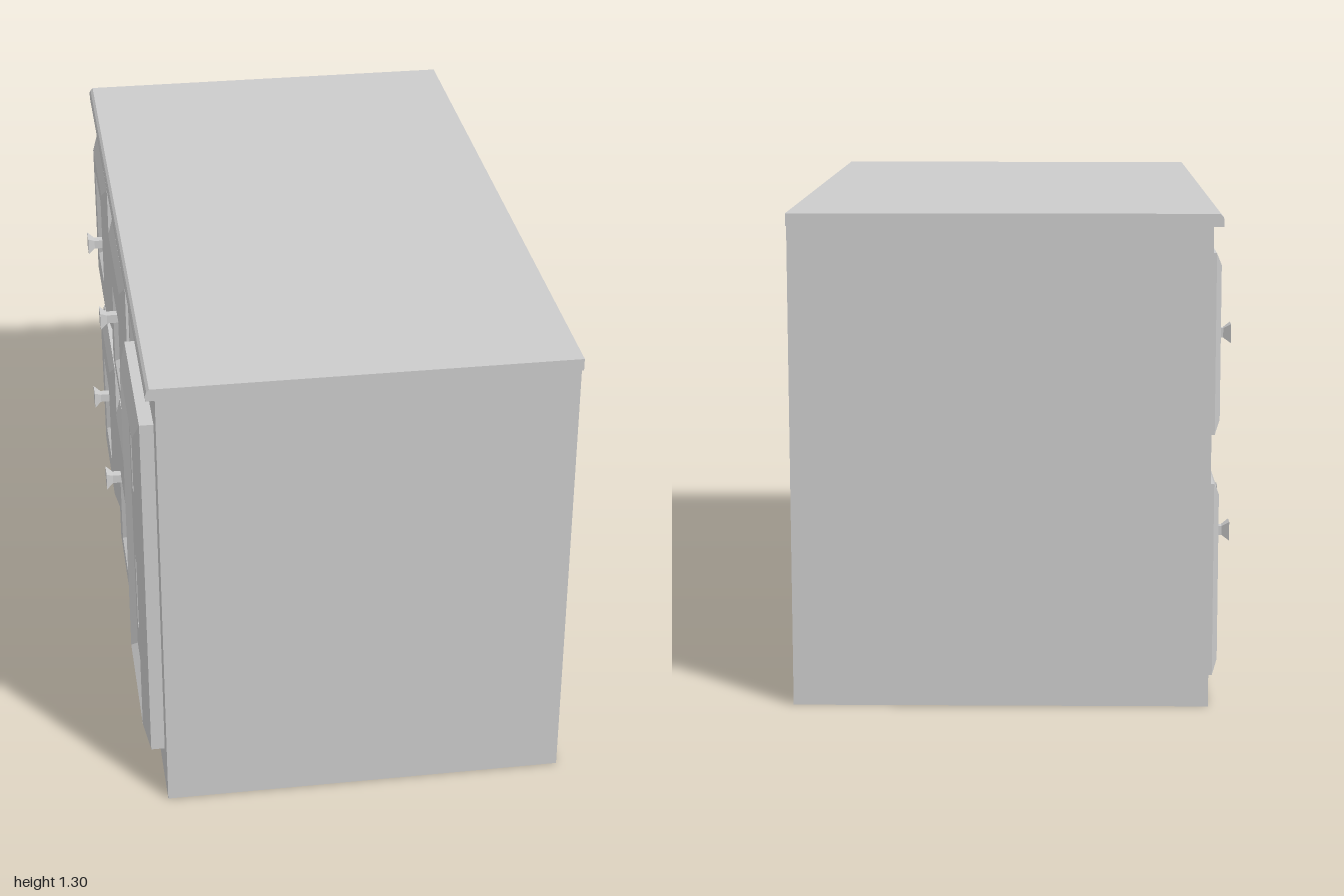
import * as THREE from 'three';

const material = new THREE.MeshStandardMaterial({ color: 0xcccccc, flatShading: true });
const WALL = -0.51; // plane of the cabinet face that carries doors and drawers

function add(parent, name, geometry) {
  const mesh = new THREE.Mesh(geometry, material);
  mesh.name = name;
  parent.add(mesh);
  return mesh;
}

// Joins rectangles [z0, z1, y0, y1, x] one after another, facing -x; the last may be capped.
function loftRects(rects, cap = true) {
  const rings = rects.map(([z0, z1, y0, y1, x]) => [[x, y0, z0], [x, y0, z1], [x, y1, z1], [x, y1, z0]]);
  const pos = [];
  const quad = (a, b, c, d) => pos.push(...a, ...b, ...c, ...a, ...c, ...d);
  for (let i = 0; i < rings.length - 1; i++) {
    for (let k = 0; k < 4; k++) {
      const n = (k + 1) % 4;
      quad(rings[i][k], rings[i][n], rings[i + 1][n], rings[i + 1][k]);
    }
  }
  if (cap) quad(...rings[rings.length - 1]);
  const g = new THREE.BufferGeometry();
  g.setAttribute('position', new THREE.Float32BufferAttribute(pos, 3));
  g.computeVertexNormals();
  return g;
}

// Rectangle shrunk by d on every side, at depth x
const inset = ([z0, z1, y0, y1], d, x) => [z0 + d, z1 - d, y0 + d, y1 - d, x];
const square = (z, y, h, x) => [z - h, z + h, y - h, y + h, x];

// Bevelled drawer front with a sunken middle and a flared square knob
function makeDrawer(outer, recess, knobZ, knobY, tip) {
  const g = new THREE.Group();
  g.name = 'drawer';
  add(g, 'drawerFront', loftRects([
    inset(outer, 0, WALL),
    inset(outer, 0, -0.525),
    inset(outer, 0.035, -0.54),
    inset(recess, 0, -0.54),
    inset(recess, 0.008, -0.527),
  ]));
  add(g, 'knob', loftRects([
    square(knobZ, knobY, 0.013, -0.52),
    square(knobZ, knobY, 0.013, tip + 0.02),
    square(knobZ, knobY, 0.026, tip),
  ]));
  return g;
}

// Door with a raised rim and four sunken windows in its panel
function makeDoor() {
  const g = new THREE.Group();
  g.name = 'door';
  const outer = [0.45, 0.91, 0.12, 1.15];
  const rim = [0.49, 0.87, 0.18, 1.09];
  const floor = inset(rim, 0.018, -0.547);
  add(g, 'doorFrame', loftRects([
    inset(outer, 0, WALL), inset(outer, 0, -0.547), inset(rim, 0, -0.565), floor,
  ], false));

  // Shape drawn in (z, y), then turned to face -x
  const [z0, z1, y0, y1] = floor;
  const panel = new THREE.Shape([[z0, y0], [z1, y0], [z1, y1], [z0, y1]].map(p => new THREE.Vector2(...p)));
  for (const z of [0.55, 0.73]) {
    for (const y of [0.30, 0.75]) {
      const win = [z, z + 0.09, y, y + 0.225];
      panel.holes.push(new THREE.Path([
        [win[0], win[2]], [win[0], win[3]], [win[1], win[3]], [win[1], win[2]],
      ].map(p => new THREE.Vector2(...p))));
      add(g, 'doorWindow', loftRects([inset(win, 0, -0.547), inset(win, 0.008, -0.527)]));
    }
  }
  const face = new THREE.ShapeGeometry(panel);
  face.rotateY(-Math.PI / 2);
  face.translate(-0.547, 0, 0);
  add(g, 'doorPanel', face);
  return g;
}

export function createModel() {
  const model = new THREE.Group();
  model.name = 'cabinet';

  add(model, 'body', new THREE.BoxGeometry(1.095, 1.27, 1.96)).position.set(0.0375, 0.635, 0);

  // Countertop with a chamfered edge over the drawers
  const top = new THREE.Shape([
    [-0.535, 1.27], [0.585, 1.27], [0.585, 1.303], [-0.525, 1.303], [-0.532, 1.296], [-0.535, 1.288],
  ].map(p => new THREE.Vector2(...p)));
  const topGeo = new THREE.ExtrudeGeometry(top, { depth: 2, bevelEnabled: false });
  topGeo.translate(0, 0, -1);
  add(model, 'countertop', topGeo);

  // Upright moulding between drawers and door
  add(model, 'divider', loftRects([[0.31, 0.37, 0, 1.265, WALL], [0.325, 0.355, 0.04, 1.23, -0.525]]));

  // Two columns of drawers, upper and lower
  model.add(
    makeDrawer([-0.88, -0.46, 0.71, 1.19], [-0.77, -0.55, 0.83, 1.11], -0.605, 0.945, -0.582),
    makeDrawer([-0.89, -0.45, 0.06, 0.58], [-0.77, -0.55, 0.18, 0.45], -0.605, 0.395, -0.585),
    makeDrawer([-0.25, 0.21, 0.71, 1.19], [-0.13, 0.10, 0.78, 1.03], -0.095, 0.945, -0.582),
    makeDrawer([-0.25, 0.21, 0.07, 0.58], [-0.13, 0.10, 0.15, 0.40], -0.095, 0.395, -0.585),
  );

  model.add(makeDoor());
  return model;
}
